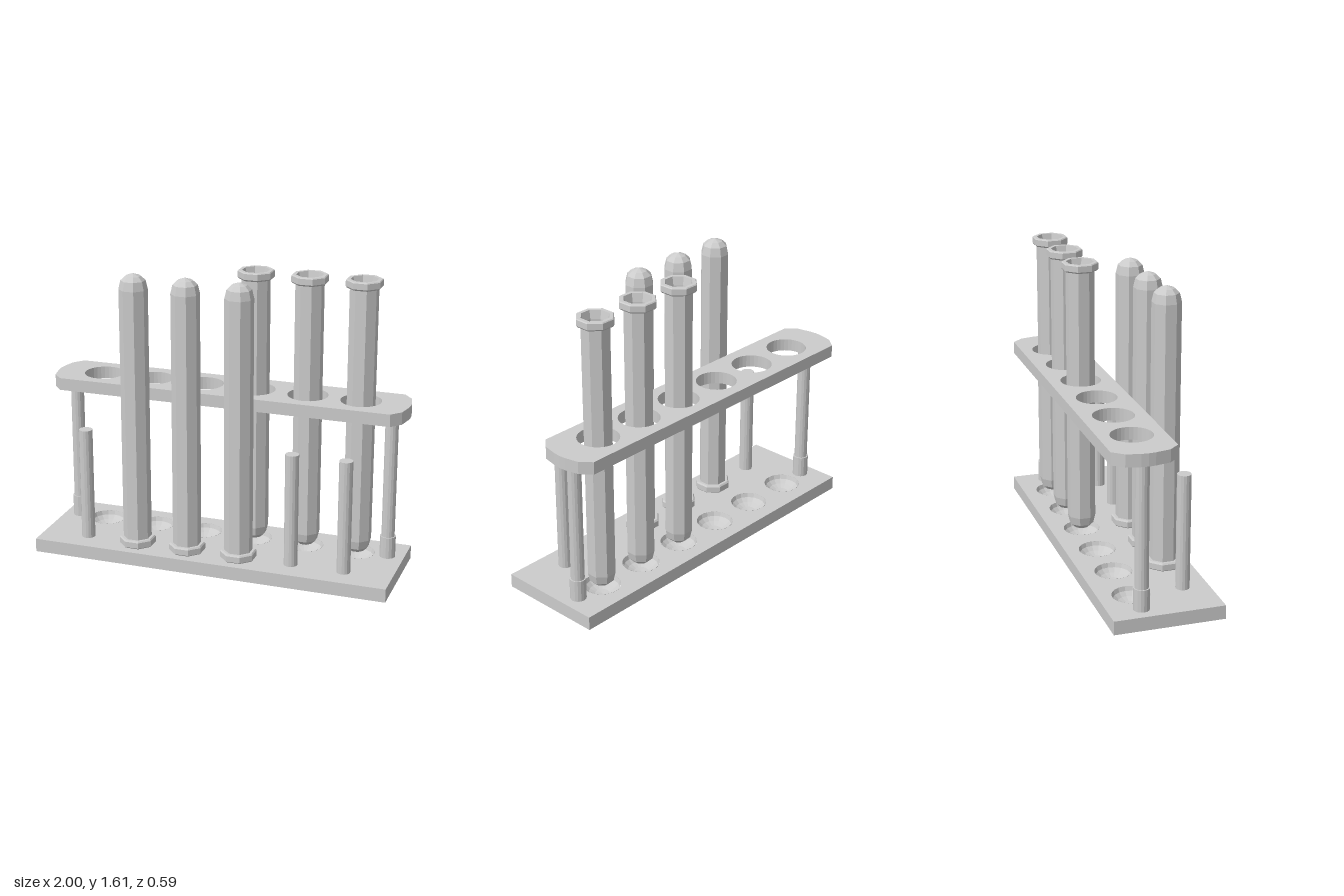
import * as THREE from 'three';

const material = new THREE.MeshStandardMaterial({ color: 0xcccccc, flatShading: true });
const thinMaterial = new THREE.MeshStandardMaterial({ color: 0xcccccc, flatShading: true, side: THREE.DoubleSide });

const STATIONS = [-0.735, -0.44, -0.15, 0.145, 0.44, 0.732];
const REAR_Z = -0.122, FRONT_Z = 0.157;
const BASE_TOP = 0.075;

function add(parent, name, geometry, x = 0, y = 0, z = 0, mat = material) {
  const mesh = new THREE.Mesh(geometry, mat);
  mesh.name = name;
  mesh.position.set(x, y, z);
  parent.add(mesh);
  return mesh;
}

// Polygon given in (x, z), with round holes [x, z, radius], laid flat between y0 and y1
function slab(corners, holes, y0, y1) {
  const shape = new THREE.Shape(corners.map(([x, z]) => new THREE.Vector2(x, -z)));
  for (const [x, z, r] of holes) {
    shape.holes.push(new THREE.Path().absarc(x, -z, r, 0, Math.PI * 2, true));
  }
  return new THREE.ExtrudeGeometry(shape, { depth: y1 - y0, bevelEnabled: false, curveSegments: 16 })
    .rotateX(-Math.PI / 2).translate(0, y0, 0);
}

const rectangle = (w, d) => [[-w, d], [w, d], [w, -d], [-w, -d]];

// Upright rod between two heights
function rod(parent, name, r, x, z, y0, y1) {
  add(parent, name, new THREE.CylinderGeometry(r, r, y1 - y0, 16), x, (y0 + y1) / 2, z);
}

// Hollow eight-sided tube: rounded end, outer wall, lip, inner wall
function tubeGeometry() {
  const profile = [
    [0, 0.075], [0.042, 0.09], [0.066, 0.113], [0.077, 0.16],
    [0.077, 1.56], [0.092, 1.56], [0.099, 1.568], [0.099, 1.6], [0.094, 1.605], [0.074, 1.605],
    [0.064, 1.56], [0.064, 0.17], [0.054, 0.125], [0.034, 0.105], [0, 0.092],
  ].map(([r, y]) => new THREE.Vector2(r, y));
  return new THREE.LatheGeometry(profile, 8, Math.PI / 8);
}

function createBase(group) {
  const base = new THREE.Group();
  base.name = 'base';
  // Rim that leaves the underside recessed
  const rim = new THREE.Shape(rectangle(0.995, 0.296).map(([x, z]) => new THREE.Vector2(x, -z)));
  rim.holes.push(new THREE.Path(rectangle(0.965, 0.266).reverse().map(([x, z]) => new THREE.Vector2(x, -z))));
  add(base, 'baseRim', new THREE.ExtrudeGeometry(rim, { depth: BASE_TOP, bevelEnabled: false }).rotateX(-Math.PI / 2));
  add(base, 'basePlate', slab(rectangle(0.966, 0.267), STATIONS.map((x) => [x, REAR_Z, 0.1]), 0.05, BASE_TOP));
  // Shallow bowls that seat the tube ends
  const bowl = [];
  for (let i = 0; i <= 4; i++) {
    const a = (i / 4) * Math.PI / 2;
    bowl.push(new THREE.Vector2(0.1 * Math.sin(a), -0.06 * Math.cos(a)));
  }
  const bowlGeometry = new THREE.LatheGeometry(bowl, 16);
  for (const x of STATIONS) add(base, 'bowl', bowlGeometry, x, BASE_TOP, REAR_Z, thinMaterial);
  group.add(base);
}

export function createModel() {
  const group = new THREE.Group();
  group.name = 'testTubeRack';
  createBase(group);

  // Upper shelf with rounded-off ends and a hole over each bowl
  const end = [[0.93, 0.051], [0.98, -0.005], [0.997, -0.085], [1, -0.122],
    [0.997, -0.16], [0.98, -0.235], [0.93, -0.294]];
  const outline = [...end, ...end.map(([x, z]) => [-x, z]).reverse()];
  add(group, 'shelf', slab(outline, STATIONS.map((x) => [x, REAR_Z, 0.11]), 0.877, 0.945));

  // Shelf posts with foot collars
  for (const side of [-1, 1]) {
    rod(group, 'post', 0.036, side * 0.903, REAR_Z, 0.04, 0.88);
    rod(group, 'postCollar', 0.043, side * 0.903, REAR_Z, 0.06, 0.195);
  }

  // Drying pegs along the front
  for (const x of STATIONS) rod(group, 'dryingPeg', 0.037, x, FRONT_Z, 0.04, 0.705);

  // Upright tubes in the rack, upturned tubes on the pegs
  const tube = tubeGeometry();
  for (const i of [3, 4, 5]) add(group, 'uprightTube', tube, STATIONS[i], 0, REAR_Z);
  for (const i of [1, 2, 3]) {
    add(group, 'upturnedTube', tube, STATIONS[i], 1.68, FRONT_Z).rotation.x = Math.PI;
  }
  return group;
}
